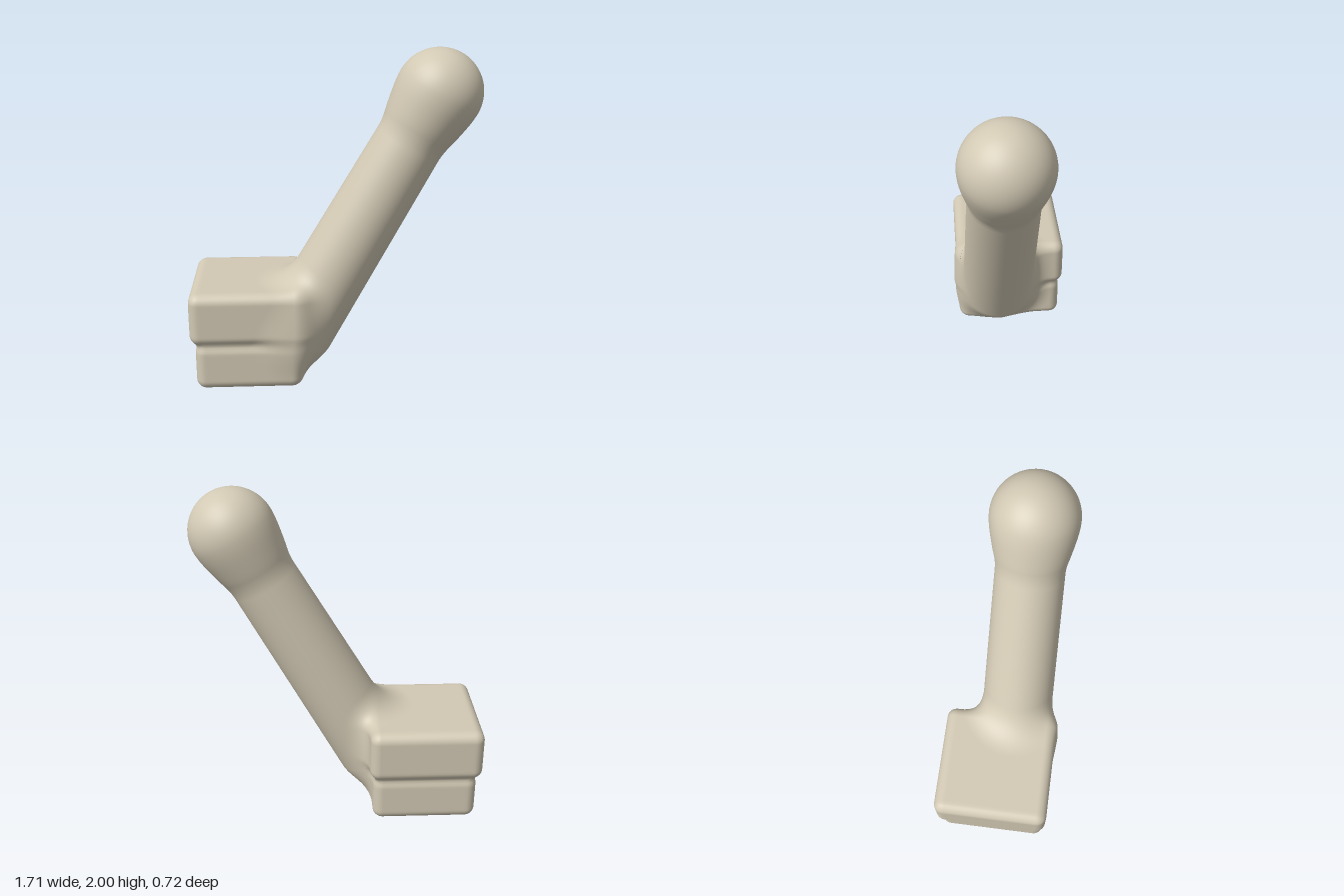
import * as THREE from 'three';

const V = (x, y, z) => new THREE.Vector3(x, y, z);

// Key dimensions
const ballCentre = V(0.6, 1.747, 0.072), ballRadius = 0.253;
const armFoot = V(-0.22, 0.3, 0.072), armTop = V(0.48, 1.535, 0.072);
const footRadius = 0.228, topRadius = 0.2;
const upperBlock = { c: V(-0.52, 0.46, -0.01), h: V(0.34, 0.16, 0.35), r: 0.06 };
const lowerBlock = { c: V(-0.515, 0.158, -0.005), h: V(0.315, 0.145, 0.335), r: 0.06 };

// Distance to a rounded block
function blockDistance(p, { c, h, r }) {
  const x = Math.abs(p.x - c.x) - h.x + r;
  const y = Math.abs(p.y - c.y) - h.y + r;
  const z = Math.abs(p.z - c.z) - h.z + r;
  return Math.hypot(Math.max(x, 0), Math.max(y, 0), Math.max(z, 0)) +
    Math.min(Math.max(x, y, z), 0) - r;
}

// Distance to the tapered arm
const axis = armTop.clone().sub(armFoot);
function armDistance(p) {
  const q = p.clone().sub(armFoot);
  const t = THREE.MathUtils.clamp(q.dot(axis) / axis.lengthSq(), 0, 1);
  return q.addScaledVector(axis, -t).length() - THREE.MathUtils.lerp(footRadius, topRadius, t);
}

// Soft union that leaves a fillet of width k
function blend(a, b, k) {
  const h = Math.max(k - Math.abs(a - b), 0) / k;
  return Math.min(a, b) - h * h * k / 4;
}

function field(p) {
  const base = blend(blockDistance(p, upperBlock), blockDistance(p, lowerBlock), 0.05);
  return blend(blend(base, armDistance(p), 0.15), p.distanceTo(ballCentre) - ballRadius, 0.15);
}

function gradient(p) {
  const e = 0.002, g = V(0, 0, 0);
  for (const k of ['x', 'y', 'z']) {
    const a = p.clone(), b = p.clone();
    a[k] += e;
    b[k] -= e;
    g[k] = (field(a) - field(b)) / (2 * e);
  }
  return g;
}

// Pull a part's vertices onto the blended skin; vertices buried in another part stay put
function fillet(geometry) {
  const pos = geometry.attributes.position, nor = geometry.attributes.normal;
  const p = V(0, 0, 0);
  for (let i = 0; i < pos.count; i++) {
    p.fromBufferAttribute(pos, i);
    if (field(p) > -0.07) {
      for (let n = 0; n < 8; n++) {
        const g = gradient(p);
        p.addScaledVector(g, -field(p) / Math.max(g.lengthSq(), 0.25));
      }
      pos.setXYZ(i, p.x, p.y, p.z);
    }
    const g = gradient(p);
    if (g.lengthSq() > 1e-6) {
      g.normalize();
      nor.setXYZ(i, g.x, g.y, g.z);
    }
  }
  return geometry;
}

export function createModel() {
  const group = new THREE.Group();
  group.name = 'lever';
  const beige = new THREE.MeshStandardMaterial({ name: 'warm beige', color: 0xd2c9b4 });

  function add(name, geometry) {
    const mesh = new THREE.Mesh(fillet(geometry), beige);
    mesh.name = name;
    group.add(mesh);
  }

  // Two-tier base with a groove around its waist
  add('base', new THREE.BoxGeometry(0.67, 0.6, 0.69, 44, 44, 44).translate(-0.515, 0.315, -0.008));

  // Slanted arm
  const arm = new THREE.CapsuleGeometry(0.215, axis.length(), 20, 64, 80);
  arm.applyQuaternion(new THREE.Quaternion().setFromUnitVectors(V(0, 1, 0), axis.clone().normalize()));
  const middle = armFoot.clone().lerp(armTop, 0.5);
  add('arm', arm.translate(middle.x, middle.y, middle.z));

  // Ball knob
  add('knob', new THREE.SphereGeometry(ballRadius, 64, 48).translate(...ballCentre.toArray()));

  return group;
}
